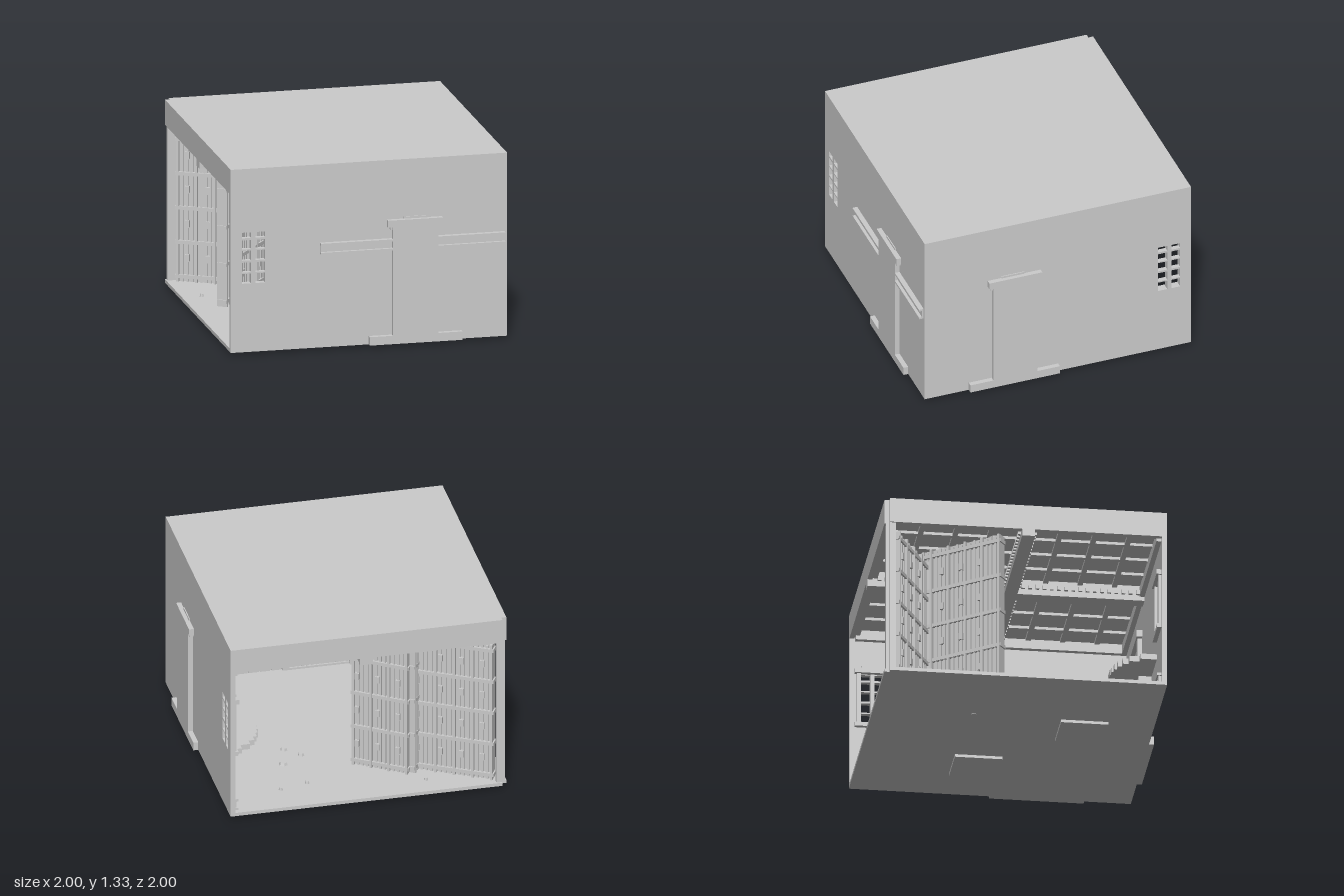
import * as THREE from 'three';

const mat = new THREE.MeshStandardMaterial({ color: 0xcccccc, flatShading: true, side: THREE.DoubleSide });

function add(parent, name, geo, x = 0, y = 0, z = 0) {
  const m = new THREE.Mesh(geo, mat);
  m.name = name;
  m.position.set(x, y, z);
  parent.add(m);
  return m;
}

// Box from its limits; swap exchanges x and z so both walls share one layout
function box(parent, name, x0, x1, y0, y1, z0, z1, swap = false) {
  if (swap) [x0, x1, z0, z1] = [z0, z1, x0, x1];
  return add(parent, name, new THREE.BoxGeometry(x1 - x0, y1 - y0, z1 - z0),
    (x0 + x1) / 2, (y0 + y1) / 2, (z0 + z1) / 2);
}

function rectPath(PathType, x0, x1, y0, y1) {
  return new PathType([[x0, y0], [x1, y0], [x1, y1], [x0, y1]].map(p => new THREE.Vector2(...p)));
}

// Square slab with a small notch at the open corner
function slab(parent, name, y0, y1) {
  const s = new THREE.Shape([[-0.965, 1], [-0.965, 0.965], [-1, 0.965], [-1, -0.965], [0.965, -0.965], [0.965, 1]]
    .map(p => new THREE.Vector2(...p)));
  const geo = new THREE.ExtrudeGeometry(s, { depth: y1 - y0, bevelEnabled: false });
  geo.rotateX(-Math.PI / 2);
  add(parent, name, geo, 0, y0, 0);
}

const paneCols = [[-0.92, -0.855], [-0.825, -0.755]];
const paneRows = [[0.51, 0.58], [0.59, 0.66], [0.675, 0.745], [0.755, 0.82], [0.835, 0.875]];

function buildWall(swap) {
  const g = new THREE.Group();
  g.name = swap ? 'sideWall' : 'frontWall';
  const b = (name, ...r) => box(g, name, ...r, swap);

  // Wall panel pierced by window panes
  const s = rectPath(THREE.Shape, -1, 0.965, 0.02, 1.33);
  for (const c of paneCols) for (const r of paneRows) s.holes.push(rectPath(THREE.Path, ...c, ...r));
  const wall = add(g, 'wallPanel', new THREE.ExtrudeGeometry(s, { depth: 0.035, bevelEnabled: false }));
  if (swap) {
    wall.rotation.y = -Math.PI / 2;
    wall.position.x = 0.965;
  } else wall.position.z = 0.93;

  // Raised doorway on the outside
  b('doorway', 0.145, 0.47, 0.02, 0.87, 0.96, 1);
  b('doorwayBase', -0.02, 0.64, 0.02, 0.08, 0.96, 1);
  b('doorwayLintel', 0.11, 0.5, 0.855, 0.905, 0.96, 1);
  b('doorwayCap', 0.23, 0.4, 0.905, 0.92, 0.96, 0.972);
  for (const x of [0.13, 0.455]) b('lintelBracket', x, x + 0.03, 0.835, 0.857, 0.96, 0.99);

  // Doorway on the inside
  for (const x of [0.1, 0.47]) b('doorPost', x, x + 0.05, 0.04, 0.9, 0.9, 0.935);
  b('doorHead', 0.07, 0.55, 0.88, 0.93, 0.89, 0.935);
  for (let i = 0; i < 4; i++) b('doorPlank', 0.155 + i * 0.08, 0.225 + i * 0.08, 0.04, 0.88, 0.92, 0.935);

  // Window casing, sill and head on the inside
  for (const x of [-0.95, -0.752]) b('windowPost', x, x + 0.028, 0.49, 0.9, 0.91, 0.935);
  b('windowMullion', -0.855, -0.825, 0.49, 0.9, 0.92, 0.935);
  b('windowSill', -0.965, -0.71, 0.475, 0.505, 0.9, 0.935);
  b('windowHead', -0.965, -0.71, 0.88, 0.915, 0.895, 0.935);
  b('windowCap', -0.92, -0.755, 0.915, 0.935, 0.905, 0.935);

  // Skirting with dentils, and cornice
  for (const [x0, x1] of [[-0.96, 0.1], [0.52, 0.93]]) {
    b('skirting', x0, x1, 0.04, 0.06, 0.9, 0.935);
    b('skirtingRail', x0, x1, 0.11, 0.13, 0.9, 0.935);
    for (let x = x0 + 0.01; x < x1 - 0.02; x += 0.035) b('skirtingDentil', x, x + 0.02, 0.06, 0.11, 0.91, 0.935);
  }
  b('cornice', -0.96, 0.93, 1.13, 1.2, 0.895, 0.935);

  // Half-round wall table of planks with a stepped edge, on paired legs
  for (let i = 0; i < 14; i++) {
    const u = (i - 6.5) / 7, x = -0.37 + u * 0.34;
    const depth = 0.28 * Math.sqrt(1 - u * u) + 0.015;
    b('tablePlank', x - 0.0243, x + 0.0243, 0.345, 0.385, 0.935 - depth, 0.935);
  }
  for (const x of [-0.415, -0.355]) b('tableLeg', x, x + 0.03, 0.04, 0.345, 0.88, 0.935);
  b('tableBracket', -0.43, -0.31, 0.3, 0.345, 0.84, 0.935);
  return g;
}

// Tall panelled screen standing between two floor points
function buildScreen(name, [ax, az], [bx, bz], height) {
  const g = new THREE.Group();
  g.name = name;
  const L = Math.hypot(bx - ax, bz - az), n = Math.round(L / 0.035);
  box(g, 'screenCore', 0, L, 0, height, -0.012, 0.012);
  for (let i = 0; i <= n; i++) {
    const x = i * (L - 0.016) / n, d = i % 4 ? 0.024 : 0.038;
    box(g, 'screenSlat', x, x + 0.016, 0, height - (i % 2) * 0.015, -d, d);
  }
  for (let k = 0; k < 5; k++) {
    const y = 0.03 + k * (height - 0.09) / 4;
    box(g, 'screenRail', -0.01, L + 0.01, y, y + 0.025, -0.034, 0.034);
    if (k < 4) for (let x = 0.06; x < L - 0.05; x += 0.15)
      box(g, 'screenBoss', x, x + 0.03, y + 0.12, y + 0.17, -0.034, 0.034);
  }
  g.position.set(ax, 0.04, az);
  g.rotation.y = -Math.atan2(bz - az, bx - ax);
  return g;
}

export function createModel() {
  const model = new THREE.Group();
  model.name = 'room';
  slab(model, 'floor', 0.02, 0.045);
  slab(model, 'roof', 1.21, 1.33);
  model.add(buildWall(false), buildWall(true));

  // Moulded band across the front
  const band = new THREE.Group();
  band.name = 'frontBand';
  box(band, 'bandCore', -0.365, 0.945, 0.69, 0.77, 0.96, 0.978);
  for (const y of [0.69, 0.755]) box(band, 'bandRail', -0.365, 0.945, y, y + 0.015, 0.96, 1);
  model.add(band);

  // Open-side headers, corner post and ceiling beams
  const ceiling = new THREE.Group();
  ceiling.name = 'ceilingFrame';
  for (const swap of [false, true]) {
    const b = (name, ...r) => box(ceiling, name, ...r, swap);
    b('header', -0.965, 0.965, 1.15, 1.22, -1, -0.965);
    b('headerLip', -0.96, 0.93, 1.16, 1.22, -0.965, -0.93);
    b('cornerPostStrip', -0.965, -0.925, 0.03, 1.22, -0.99, -0.955);
    b('mainBeam', -0.045, 0.045, 1.1, 1.22, -1, 0.93);
    for (const x of [-0.065, 0.045]) for (let z = -0.93; z < 0.9; z += 0.05)
      b('beamDentil', x, x + 0.02, 1.14, 1.17, z, z + 0.025);
    for (const x of [-0.72, -0.48, -0.24, 0.24, 0.48, 0.72])
      b('ceilingBatten', x - 0.018, x + 0.018, 1.19, 1.22, -0.96, 0.93);
  }
  box(ceiling, 'cornerPost', -0.965, -0.93, 0.03, 1.22, -0.965, -0.93);
  model.add(ceiling);

  // Screens set across the open corner
  model.add(
    buildScreen('innerScreen', [-0.37, -0.71], [-0.03, -0.48], 1.15),
    buildScreen('crossScreen', [-0.38, -0.71], [-0.79, -0.16], 1.15),
    buildScreen('cornerScreen', [-0.92, -0.92], [-0.44, -0.65], 1.07));

  // Foot plates and peg under the floor
  box(model, 'footPlate', 0.31, 0.64, 0, 0.025, -0.345, -0.015);
  box(model, 'footPlate', -0.345, -0.02, 0, 0.025, 0.31, 0.64);
  add(model, 'floorPeg', new THREE.CylinderGeometry(0.018, 0.018, 0.02, 8), -0.355, 0.026, -0.3);

  // Small stones on the floor
  for (const [x, z, r] of [[0.55, -0.75, 0.012], [0.35, -0.7, 0.012], [0.45, -0.4, 0.025], [-0.72, 0.1, 0.012],
    [-0.55, 0.4, 0.025], [-0.8, 0.5, 0.012], [0.3, -0.3, 0.018], [0.4, -0.2, 0.02], [-0.86, -0.46, 0.012], [-0.46, -0.84, 0.012]])
    add(model, 'floorStone', new THREE.CylinderGeometry(r, r * 1.3, 0.02, 6), x, 0.054, z);
  return model;
}
